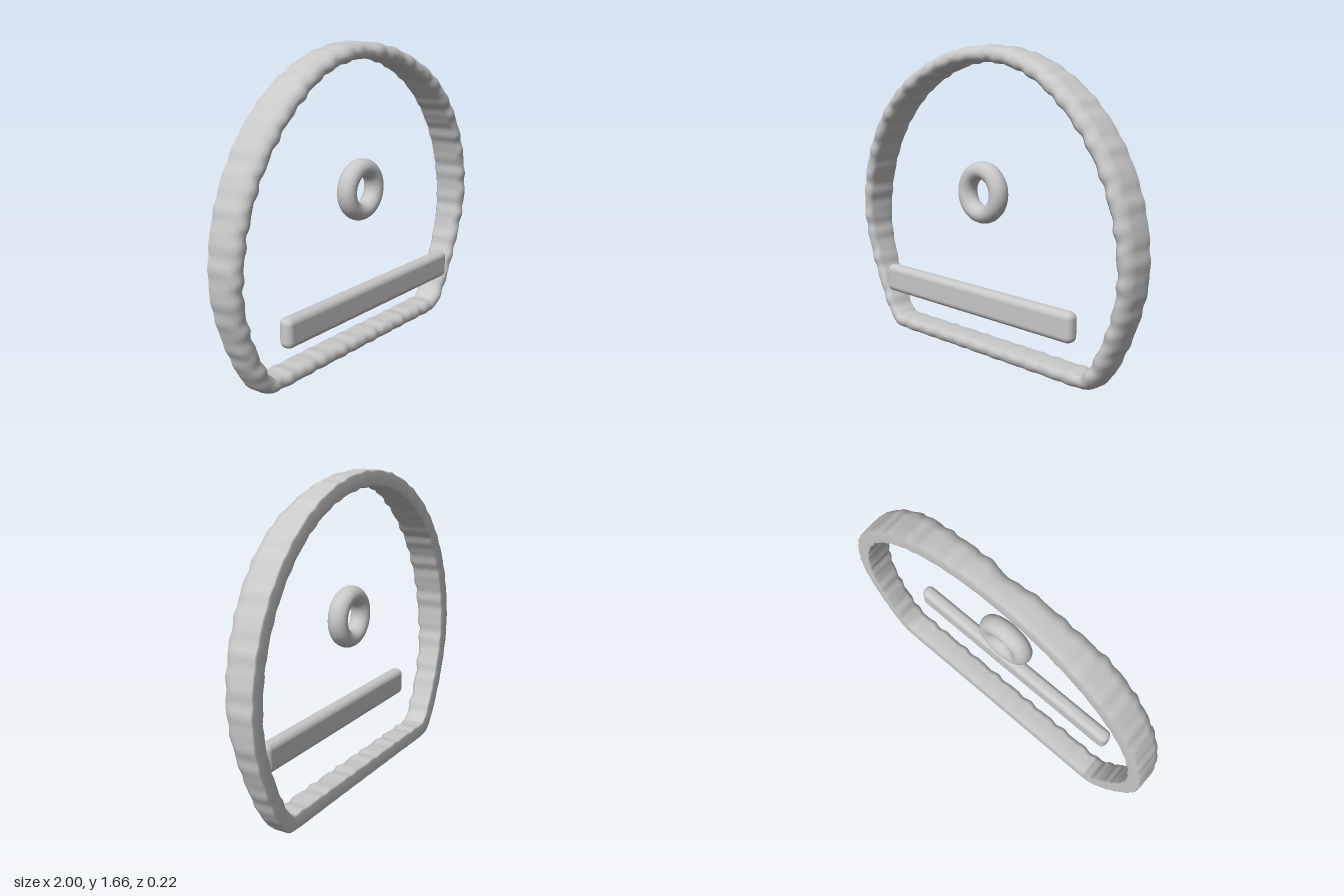
import * as THREE from 'three';
import { RoundedBoxGeometry } from 'three/addons/geometries/RoundedBoxGeometry.js';

const BACK = -0.11;

// Front surface depth of the frame by height
const DEPTH = [[0, 0.03], [0.3, 0.033], [0.5, 0.043], [0.7, 0.062], [1, 0.075],
  [1.3, 0.083], [1.45, 0.08], [1.6, 0.05], [1.7, 0.03]];

function frontDepth(y) {
  for (let i = 1; i < DEPTH.length; i++) {
    const [y0, z0] = DEPTH[i - 1], [y1, z1] = DEPTH[i];
    if (y <= y1) return THREE.MathUtils.mapLinear(Math.max(y, y0), y0, y1, z0, z1);
  }
  return 0.03;
}

// Centre line of the frame: a big arch closed by a straight base
function framePath() {
  const right = [[0.35, 0.05], [0.66, 0.05], [0.71, 0.055], [0.752, 0.09], [0.82, 0.2], [0.908, 0.41]];
  const points = right.map(([x, y]) => new THREE.Vector3(x, y, 0));
  for (let a = -4; a <= 184; a += 11.75) {
    const t = THREE.MathUtils.degToRad(a);
    points.push(new THREE.Vector3(0.953 * Math.cos(t), 0.665 + 0.957 * Math.sin(t), 0));
  }
  for (const [x, y] of right.slice().reverse()) points.push(new THREE.Vector3(-x, y, 0));
  return new THREE.CatmullRomCurve3(points, true, 'centripetal');
}

// Sweep a flat-backed, round-fronted section around the path, with a hand-made ripple
function frameGeometry() {
  const path = framePath();
  const steps = 320;
  const ring = path.getSpacedPoints(steps);
  const positions = [], indices = [];
  let count = 0;
  for (let i = 0; i < steps; i++) {
    const p = ring[i];
    const t = ring[(i + 1) % steps].clone().sub(ring[(i + steps - 1) % steps]).normalize();
    const u = (i / steps) * Math.PI * 2;
    const ripple = (k) => 0.6 * Math.sin(43 * u + k) + 0.4 * Math.sin(67 * u + 2 * k);
    const notch = 0.018 * Math.exp(-((p.x / 0.07) ** 2)) * (p.y > 1 ? 1 : 0);
    const front = frontDepth(p.y) + 0.006 * ripple(1) - notch;
    const base = p.y < 0.08 ? 0.3 : 1;
    const out = 0.042 + 0.004 * base * ripple(3);
    const inn = -0.041 + 0.004 * ripple(5);
    const section = [
      [out - 0.008, BACK], [out, BACK + 0.008], [out, BACK + 0.05], [out, front - 0.06],
      [out - 0.006, front - 0.035], [out - 0.018, front - 0.014], [out - 0.035, front - 0.002],
      [inn + 0.028, front], [inn + 0.01, front - 0.01], [inn, front - 0.03],
      [inn, BACK + 0.05], [inn, BACK + 0.008], [inn + 0.008, BACK]
    ];
    count = section.length;
    for (const [n, z] of section) positions.push(p.x + t.y * n, p.y - t.x * n, z);
  }
  for (let i = 0; i < steps; i++) {
    for (let j = 0; j < count; j++) {
      const k = (j + 1) % count, next = (i + 1) % steps;
      const a = i * count + j, b = next * count + j, c = next * count + k, d = i * count + k;
      indices.push(a, b, d, b, c, d);
    }
  }
  const geometry = new THREE.BufferGeometry();
  geometry.setAttribute('position', new THREE.Float32BufferAttribute(positions, 3));
  geometry.setIndex(indices);
  geometry.computeVertexNormals();
  return geometry;
}

export function createModel() {
  const group = new THREE.Group();
  const grey = new THREE.MeshStandardMaterial({ color: 0xc8c8c8 });
  grey.name = 'light grey';

  const add = (name, geometry, x, y, z) => {
    const mesh = new THREE.Mesh(geometry, grey);
    mesh.name = name;
    mesh.position.set(x, y, z);
    group.add(mesh);
    return mesh;
  };

  add('archedFrame', frameGeometry(), 0, 0, 0);

  // Ring floating in the middle of the arch
  add('centreRing', new THREE.TorusGeometry(0.116, 0.048, 20, 48), 0, 0.903, 0).scale.z = 1.12;

  // Cross bar standing proud of the frame
  add('crossBar', new RoundedBoxGeometry(1.395, 0.155, 0.078, 5, 0.034), 0, 0.338, 0.072);

  return group;
}
